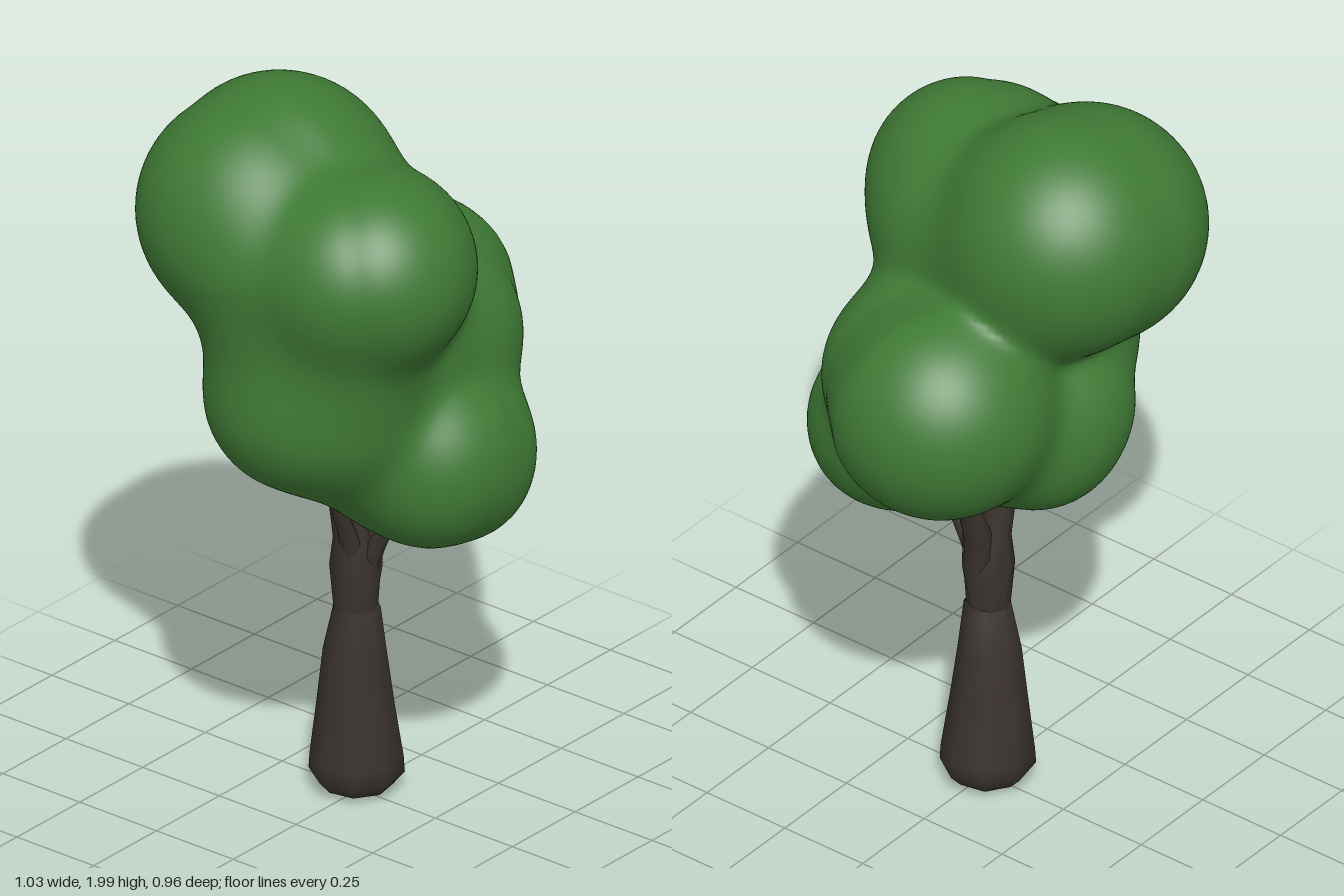
import * as THREE from 'three';
import { mergeVertices } from 'three/addons/utils/BufferGeometryUtils.js';

// Foliage masses, each a rounded taper between two balls [x, y, z, radius]
const MASSES = [
  [[-0.115, 1.685, -0.165, 0.31], [-0.195, 1.67, -0.175, 0.305]], // top back
  [[-0.215, 1.63, 0.23, 0.247], [-0.25, 1.625, 0.19, 0.24]],     // top front
  [[-0.1, 1.61, -0.1, 0.255], [-0.125, 1.59, 0.15, 0.25]],       // top middle
  [[-0.278, 1.61, -0.04, 0.235], [-0.255, 1.25, 0.02, 0.205]],   // tall flank
  [[-0.235, 1.6, 0.17, 0.215], [-0.24, 1.23, 0.1, 0.215]],       // front flank
  [[0.225, 1.28, -0.035, 0.288], [0.14, 1.28, 0.1, 0.245]],      // side
  [[0.06, 1.045, 0.23, 0.22], [0.0, 1.06, 0.245, 0.22]],         // low front
  [[0.06, 0.98, 0.275, 0.168], [-0.03, 0.99, 0.265, 0.165]],     // front underside
  [[0.04, 0.985, 0.24, 0.165], [0.0, 1.0, 0.12, 0.175]],         // underside
  [[-0.02, 1.03, 0.18, 0.2], [-0.25, 1.23, 0.03, 0.232]],        // low flank
  [[0.0, 1.05, 0.1, 0.19], [-0.05, 1.11, -0.125, 0.21]],         // low back
  [[-0.09, 1.18, -0.14, 0.205], [-0.24, 1.22, -0.01, 0.205]],    // back flank
  [[-0.02, 1.12, -0.1, 0.18], [0.17, 1.24, -0.03, 0.22]],        // back to side
  [[0.05, 1.06, 0.2, 0.17], [0.2, 1.27, 0.02, 0.22]],            // front to side
  [[-0.02, 1.33, 0.11, 0.232], [-0.13, 1.33, 0.09, 0.23]],       // core
];
const BLEND = 0.028;

// Smoothly blended distance to all masses
function distance(p) {
  let sum = 0;
  for (const [a, b] of MASSES) {
    const dx = b[0] - a[0], dy = b[1] - a[1], dz = b[2] - a[2];
    const along = (p.x - a[0]) * dx + (p.y - a[1]) * dy + (p.z - a[2]) * dz;
    const t = THREE.MathUtils.clamp(along / (dx * dx + dy * dy + dz * dz), 0, 1);
    const gap = Math.hypot(p.x - a[0] - dx * t, p.y - a[1] - dy * t, p.z - a[2] - dz * t);
    sum += Math.exp((a[3] + (b[3] - a[3]) * t - gap) / BLEND);
  }
  return -BLEND * Math.log(sum + 1e-300);
}

// Sphere shrunk onto the blended masses
function crownGeometry() {
  let geo = new THREE.IcosahedronGeometry(1, 30);
  geo.deleteAttribute('uv');
  geo.deleteAttribute('normal');
  geo = mergeVertices(geo, 1e-5);
  const centre = new THREE.Vector3(-0.07, 1.35, 0.03);
  const pos = geo.attributes.position;
  const dir = new THREE.Vector3();
  const p = new THREE.Vector3();
  for (let i = 0; i < pos.count; i++) {
    dir.fromBufferAttribute(pos, i).normalize();
    let t = 1.1;
    for (let s = 0; s < 80; s++) {
      const d = distance(p.copy(centre).addScaledVector(dir, t));
      t -= d * 0.9;
      if (Math.abs(d) < 1e-5) break;
    }
    p.copy(centre).addScaledVector(dir, t);
    pos.setXYZ(i, p.x, p.y, p.z);
  }
  geo.computeVertexNormals();
  return geo;
}

// Skin over horizontal rings given as [x, y, z, radius]
function loft(rings, sides, twist = 0) {
  const verts = [];
  const index = [];
  rings.forEach(([x, y, z, r], i) => {
    for (let j = 0; j < sides; j++) {
      const a = (j / sides) * Math.PI * 2 + twist;
      verts.push(x + Math.cos(a) * r, y, z + Math.sin(a) * r);
      if (i === rings.length - 1) continue;
      const k = (j + 1) % sides;
      const a0 = i * sides + j, b0 = i * sides + k;
      index.push(a0, a0 + sides, b0, b0, a0 + sides, b0 + sides);
    }
  });
  const geo = new THREE.BufferGeometry();
  geo.setAttribute('position', new THREE.Float32BufferAttribute(verts, 3));
  geo.setIndex(index);
  geo.computeVertexNormals();
  return geo;
}

export function createModel() {
  const tree = new THREE.Group();
  tree.name = 'tree';
  const leaf = new THREE.MeshStandardMaterial({ color: 0x3f7a35 });
  const bark = new THREE.MeshStandardMaterial({ color: 0x3a322e, side: THREE.DoubleSide });
  const add = (name, geo, mat) => {
    const mesh = new THREE.Mesh(geo, mat);
    mesh.name = name;
    tree.add(mesh);
  };

  add('crown', crownGeometry(), leaf);

  // Flared trunk with a rounded foot
  add('trunk', loft([
    [0.005, 0.003, -0.01, 0.001], [0.005, 0.018, -0.01, 0.09],
    [0.006, 0.055, -0.012, 0.122], [0.006, 0.1, -0.012, 0.119],
    [-0.001, 0.25, -0.01, 0.099], [-0.004, 0.4, -0.01, 0.081],
    [-0.01, 0.53, 0.002, 0.06], [-0.012, 0.54, 0.002, 0.04],
  ], 8, 0.2), bark);

  // Upper stem continuing into the crown
  add('stem', loft([
    [-0.012, 0.52, 0, 0.056], [-0.012, 0.65, -0.002, 0.066],
    [-0.022, 0.73, -0.005, 0.048], [-0.04, 0.85, -0.02, 0.038],
    [-0.06, 1.0, -0.04, 0.025],
  ], 8), bark);

  // Branches forking out below the crown
  const branches = {
    sideBranch: [[0.01, 0.53, 0.01, 0.03], [0.016, 0.64, 0.012, 0.042],
      [0.035, 0.76, 0, 0.038], [0.075, 0.86, -0.005, 0.03], [0.125, 0.95, -0.005, 0.003]],
    frontBranch: [[-0.005, 0.62, 0.02, 0.032], [0.0, 0.7, 0.05, 0.027],
      [0.01, 0.8, 0.093, 0.022], [0.02, 0.92, 0.14, 0.012]],
    outerBranch: [[-0.035, 0.68, 0.01, 0.03], [-0.06, 0.76, 0.012, 0.025],
      [-0.1, 0.84, 0.015, 0.02], [-0.14, 0.95, 0.02, 0.01]],
  };
  for (const [name, rings] of Object.entries(branches)) add(name, loft(rings, 7, 0.3), bark);

  return tree;
}
